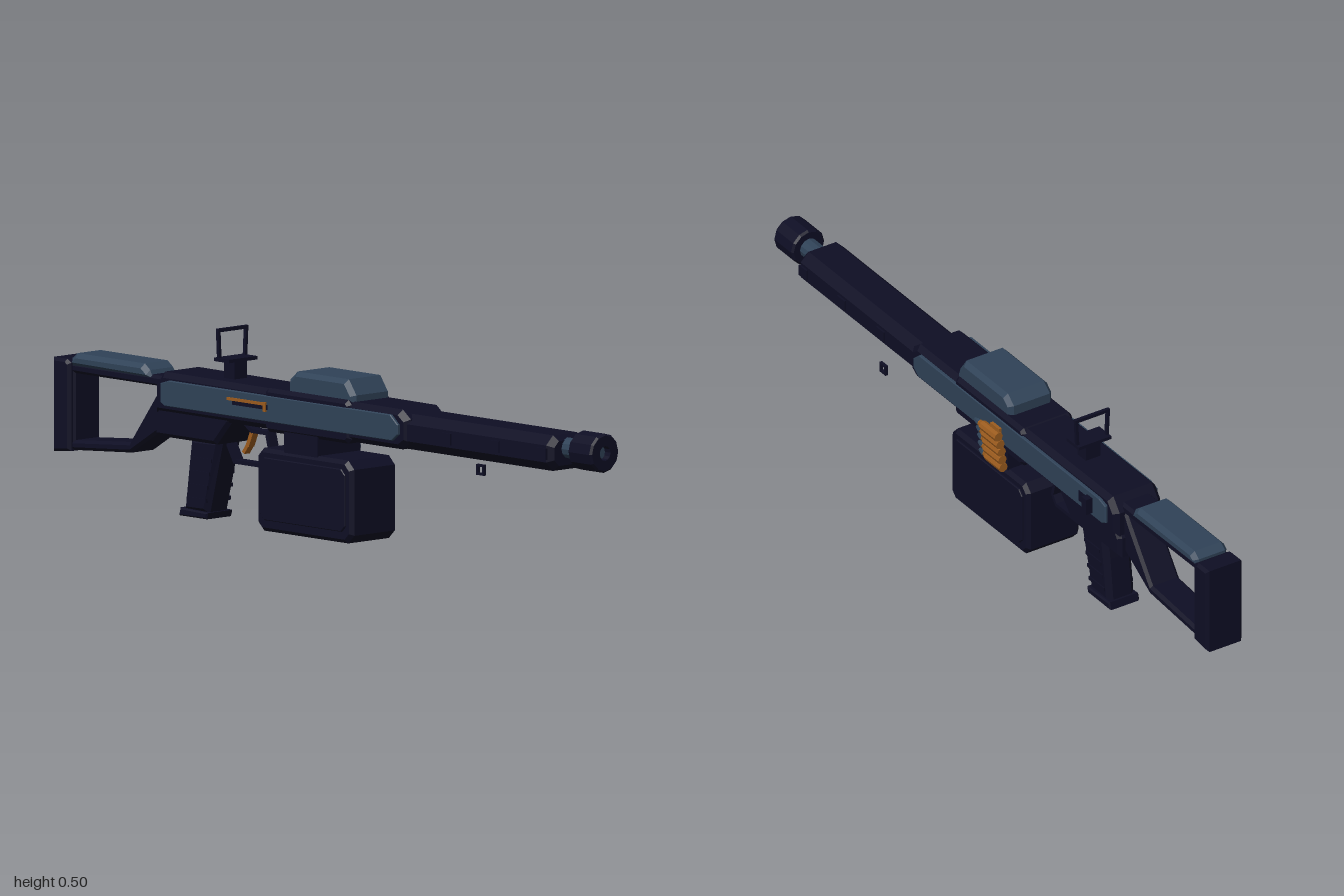
import * as THREE from 'three';

const mat = (name, color) => Object.assign(new THREE.MeshStandardMaterial({ color, flatShading: true }), { name });

export function createModel() {
  const dark = mat('dark navy metal', 0x0e0e24);
  const slate = mat('slate panels', 0x2f4257);
  const brass = mat('brass', 0x9c5c1e);

  const model = new THREE.Group();
  const gun = new THREE.Group();
  gun.name = 'gun';
  gun.position.z = 0.016;
  model.add(gun);

  const add = (name, geo, material, x = 0, y = 0, z = 0, parent = gun) => {
    const m = new THREE.Mesh(geo, material);
    m.name = name;
    m.position.set(x, y, z);
    parent.add(m);
    return m;
  };
  const box = (name, w, h, d, material, x, y, z = 0) =>
    add(name, new THREE.BoxGeometry(w, h, d), material, x, y, z);
  const pts = (a) => a.map(([x, y]) => new THREE.Vector2(x, y));

  // Side profile in x/y, extruded across z and centred on z, with one flat bevel
  const profile = (points, width, bevel, hole) => {
    const shape = new THREE.Shape(pts(points));
    if (hole) shape.holes.push(new THREE.Path(pts(hole)));
    const geo = new THREE.ExtrudeGeometry(shape, {
      depth: width - 2 * bevel, bevelEnabled: bevel > 0, bevelThickness: bevel,
      bevelSize: bevel, bevelOffset: -bevel, bevelSegments: 1,
    });
    return geo.translate(0, 0, -width / 2 + bevel);
  };
  // Rectangle with cut corners
  const octagon = (x0, x1, y0, y1, c) => [
    [x0 + c, y0], [x1 - c, y0], [x1, y0 + c], [x1, y1 - c],
    [x1 - c, y1], [x0 + c, y1], [x0, y1 - c], [x0, y0 + c],
  ];

  // Open shoulder stock with butt plate and cheek pad
  add('stock', profile(
    [[-0.99, 0.125], [-0.72, 0.145], [-0.59, 0.225], [-0.59, 0.355], [-0.99, 0.355]], 0.09, 0.008,
    [[-0.93, 0.155], [-0.93, 0.328], [-0.61, 0.328], [-0.63, 0.3], [-0.725, 0.172]]), dark);
  add('buttPlate', profile([[-1, 0.12], [-0.935, 0.127], [-0.935, 0.355], [-0.95, 0.364], [-1, 0.364]], 0.112, 0.008), dark);
  add('cheekPad', profile([[-0.94, 0.345], [-0.64, 0.345], [-0.65, 0.366], [-0.67, 0.381], [-0.92, 0.381], [-0.94, 0.366]], 0.104, 0.012), slate);

  // Receiver, its middle cover and the lower rear housing
  add('receiver', profile(
    [[-0.605, 0.265], [0.31, 0.265], [0.34, 0.285], [0.34, 0.345], [0.31, 0.368], [-0.575, 0.372], [-0.605, 0.335]], 0.146, 0.014), dark);
  add('receiverCover', profile(octagon(-0.19, 0.13, 0.26, 0.373, 0.012), 0.156, 0.01), dark);
  add('lowerHousing', profile(
    [[-0.61, 0.203], [-0.385, 0.203], [-0.33, 0.265], [-0.33, 0.29], [-0.59, 0.29], [-0.61, 0.26]], 0.13, 0.01), dark);
  add('topPad', profile([[-0.113, 0.36], [0.133, 0.36], [0.133, 0.385], [0.105, 0.424], [-0.085, 0.424], [-0.113, 0.4]], 0.134, 0.012), slate);

  // Side panels on both flanks
  const panel = [[-0.57, 0.295], [-0.555, 0.287], [0.29, 0.287], [0.313, 0.305],
    [0.313, 0.33], [0.285, 0.354], [-0.54, 0.354], [-0.57, 0.345]];
  for (const s of [1, -1]) add('sidePanel', profile(panel, 0.01, 0.002), slate, 0, 0, s * 0.076);
  box('ejectionSlot', 0.13, 0.012, 0.004, dark, -0.235, 0.324, 0.081);
  box('boltStrip', 0.14, 0.008, 0.004, brass, -0.25, 0.332, 0.0815);
  box('boltEnd', 0.01, 0.025, 0.006, brass, -0.18, 0.325, 0.082);
  box('selectorLever', 0.022, 0.045, 0.022, dark, -0.5, 0.318, -0.089);
  box('selectorBase', 0.06, 0.03, 0.008, dark, -0.48, 0.318, -0.079);

  // Handguard with cut edges and a tapered nose
  const guardShape = new THREE.Shape(pts(octagon(-0.066, 0.066, 0.265, 0.357, 0.024)));
  const guard = new THREE.ExtrudeGeometry(guardShape, {
    depth: 0.58, bevelThickness: 0.016, bevelSize: 0.014, bevelOffset: -0.014, bevelSegments: 1,
  });
  add('handguard', guard.rotateY(Math.PI / 2), dark, 0.27);
  for (const s of [1, -1]) {
    for (const x of [0.48, 0.66, 0.835]) box('handguardRivet', 0.035, 0.03, 0.008, dark, x, 0.311, s * 0.067);
  }

  // Barrel and muzzle, turned around the x axis
  const turned = (name, profilePts, material, sides) => {
    const geo = new THREE.LatheGeometry(pts(profilePts), sides).rotateZ(-Math.PI / 2);
    return add(name, geo, material, 0, 0.322, 0);
  };
  turned('barrel', [[0, 0.83], [0.027, 0.83], [0.027, 0.93]], slate, 12);
  turned('muzzle', [[0, 0.912], [0.046, 0.912], [0.051, 0.918], [0.051, 0.994], [0.046, 1],
    [0.019, 1], [0.018, 0.975]], dark, 12);
  turned('bore', [[0.019, 0.98], [0, 0.98]], slate, 12);

  // Box magazine, side plates and feed neck
  add('magazine', profile(octagon(-0.215, 0.142, 0.003, 0.217, 0.022), 0.162, 0.01), dark);
  for (const s of [1, -1]) add('magazinePlate', profile(octagon(-0.195, 0.122, 0.033, 0.195, 0.015), 0.008, 0.002), dark, 0, 0, s * 0.082);
  box('feedNeck', 0.125, 0.065, 0.15, dark, -0.053, 0.243);

  // Raked pistol grip with ridges and a foot
  add('grip', profile([[-0.53, 0.015], [-0.44, 0.015], [-0.39, 0.21], [-0.505, 0.21], [-0.515, 0.14]], 0.084, 0.014), dark);
  add('gripFoot', profile([[-0.54, 0.003], [-0.437, 0.003], [-0.432, 0.02], [-0.535, 0.024]], 0.092, 0.004), dark);
  for (let i = 0; i < 4; i++) {
    const y = 0.05 + i * 0.035;
    box('gripRidge', 0.07, 0.01, 0.09, dark, -0.475 + (y - 0.05) * 0.2, y);
  }

  // Trigger and its guard loop
  const loop = [[-0.39, 0.2], [-0.365, 0.157], [-0.245, 0.157], [-0.228, 0.18], [-0.245, 0.243], [-0.3, 0.243], [-0.33, 0.262]];
  const bar = (name, a, b, t, w, material) => {
    const dx = b[0] - a[0], dy = b[1] - a[1];
    const m = box(name, Math.hypot(dx, dy) + t * 0.6, t, w, material, (a[0] + b[0]) / 2, (a[1] + b[1]) / 2);
    m.rotation.z = Math.atan2(dy, dx);
  };
  for (let i = 0; i < loop.length - 1; i++) bar('triggerGuard', loop[i], loop[i + 1], 0.01, 0.03, dark);
  bar('trigger', [-0.305, 0.24], [-0.32, 0.205], 0.012, 0.02, brass);
  bar('triggerTip', [-0.32, 0.205], [-0.335, 0.185], 0.01, 0.02, brass);

  // Folding rear sight: stalk, plate and open frame
  box('sightStalk', 0.038, 0.055, 0.045, dark, -0.375, 0.393);
  box('sightPlate', 0.056, 0.009, 0.1, dark, -0.375, 0.421);
  for (const s of [1, -1]) {
    box('sightPost', 0.009, 0.08, 0.008, dark, -0.388, 0.459, s * 0.047).rotation.x = s * 0.05;
  }
  box('sightBar', 0.009, 0.009, 0.106, dark, -0.388, 0.497);

  // Belt of rounds curving down the back flank, tips forward
  const roundProfile = [[0, -0.112], [0.013, -0.112], [0.013, -0.04], [0.008, -0.03], [0.008, -0.02]];
  const tipProfile = [[0.0095, -0.028], [0.0095, -0.02], [0.005, -0.005], [0, 0]];
  [[0.322, -0.102], [0.297, -0.096], [0.273, -0.092], [0.249, -0.09], [0.225, -0.087]].forEach(([y, z]) => {
    const cartridge = new THREE.Group();
    cartridge.name = 'cartridge';
    cartridge.position.set(0, y, z);
    gun.add(cartridge);
    for (const [name, p, m] of [['casing', roundProfile, brass], ['tip', tipProfile, slate]]) {
      add(name, new THREE.LatheGeometry(pts(p), 8).rotateZ(-Math.PI / 2), m, 0, 0, 0, cartridge);
    }
  });
  box('beltLink', 0.04, 0.12, 0.01, brass, -0.075, 0.273, -0.085);

  // Small square sling ring below the handguard
  const sq = (r) => [[-r, -r], [r, -r], [r, r], [-r, r]];
  add('slingRing', profile(sq(0.014), 0.008, 0, sq(0.008)), dark, 0.465, 0.216, -0.069);

  return model;
}
